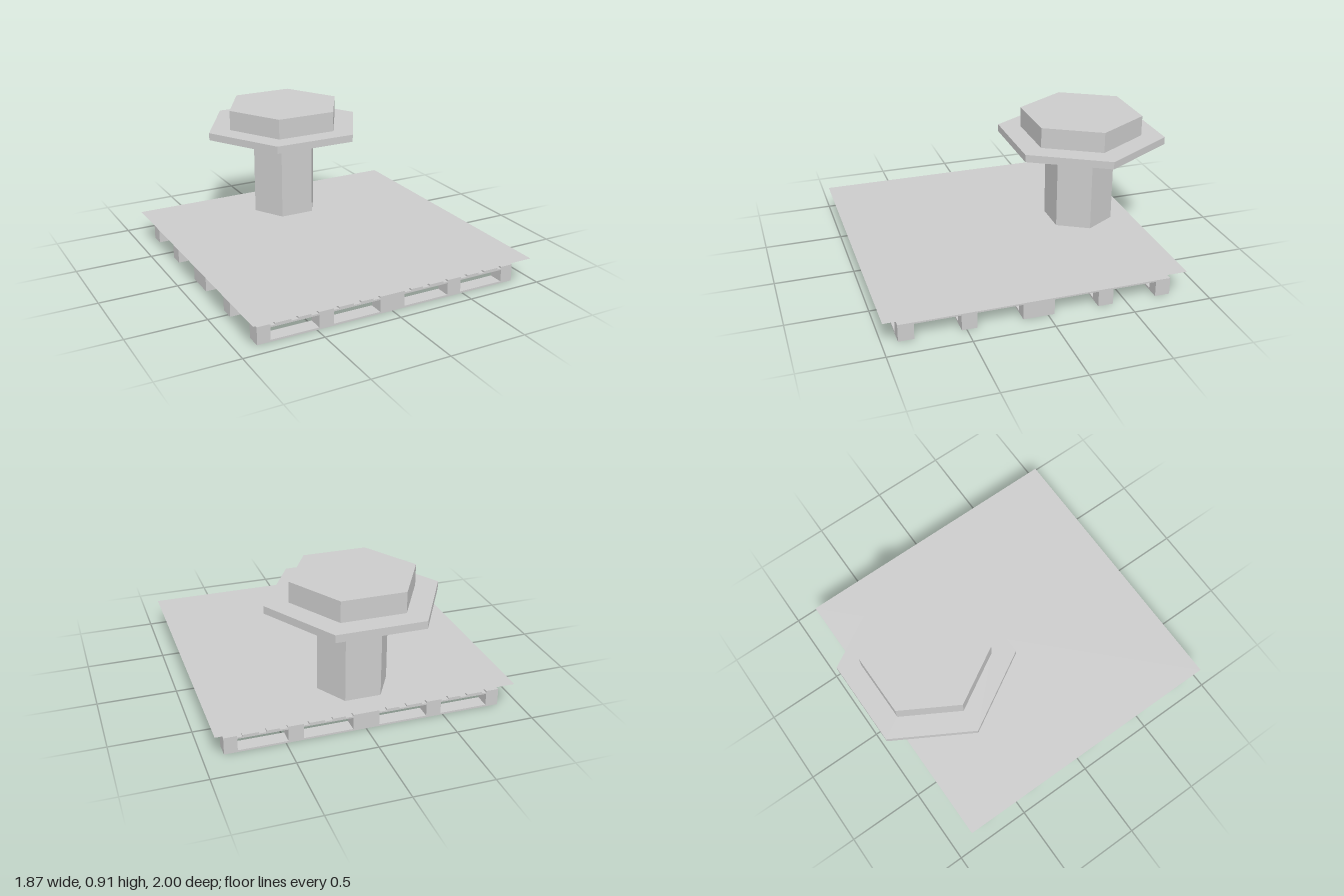
import * as THREE from 'three';

const material = new THREE.MeshStandardMaterial({ color: 0xcccccc, flatShading: true });
const thinMaterial = new THREE.MeshStandardMaterial({ color: 0xcccccc, flatShading: true, side: THREE.DoubleSide });

function add(parent, name, geometry, mat = material) {
  const mesh = new THREE.Mesh(geometry, mat);
  mesh.name = name;
  parent.add(mesh);
  return mesh;
}

// Box given by its limits on each axis
function box(parent, name, [x0, x1], [y0, y1], [z0, z1]) {
  const mesh = add(parent, name, new THREE.BoxGeometry(x1 - x0, y1 - y0, z1 - z0));
  mesh.position.set((x0 + x1) / 2, (y0 + y1) / 2, (z0 + z1) / 2);
  return mesh;
}

// Hexagon corners with two corners on the x axis
function hexagon(r) {
  return Array.from({ length: 6 }, (_, i) =>
    new THREE.Vector2(r * Math.cos(i * Math.PI / 3), r * Math.sin(i * Math.PI / 3)));
}

// Upright prism from a flat shape
function prism(parent, name, shape, y0, y1, z) {
  const geometry = new THREE.ExtrudeGeometry(shape, { depth: y1 - y0, bevelEnabled: false });
  const mesh = add(parent, name, geometry.rotateX(-Math.PI / 2));
  mesh.position.set(0, y0, z);
  return mesh;
}

function createPallet() {
  const pallet = new THREE.Group();
  pallet.name = 'pallet';
  const columns = [[-0.872, -0.79], [-0.485, -0.39], [-0.083, 0.083], [0.39, 0.485], [0.79, 0.872]];
  const rows = [[-0.79, -0.695], [-0.415, -0.32], [-0.04, 0.155], [0.435, 0.53], [0.81, 0.905]];

  // Bottom board, upper board and five blocks in each row
  for (const row of rows) {
    box(pallet, 'bottomBoard', [-0.872, 0.872], [0, 0.012], row);
    box(pallet, 'upperBoard', [-0.872, 0.872], [0.09, 0.1], row);
    for (const column of columns) box(pallet, 'block', column, [0.012, 0.09], row);
  }

  // Deck slats run front to back, mirrored about the middle one
  const depth = [-0.79, 0.905];
  const slats = [[0.13, 0.21], [0.26, 0.357], [0.39, 0.487], [0.535, 0.615], [0.66, 0.76], [0.79, 0.872]];
  box(pallet, 'deckSlat', [-0.083, 0.083], [0.1, 0.11], depth);
  for (const [a, b] of slats) {
    box(pallet, 'deckSlat', [a, b], [0.1, 0.11], depth);
    box(pallet, 'deckSlat', [-b, -a], [0.1, 0.11], depth);
  }

  // Small plate with cut corners on the deck
  const r = 0.19, c = 0.155;
  const plate = new THREE.Shape([[r, -c], [r, c], [c, r], [-c, r], [-r, c], [-r, -c], [-c, -r], [c, -r]]
    .map(([x, y]) => new THREE.Vector2(x, y)));
  prism(pallet, 'deckPlate', plate, 0.11, 0.135, 0.058);
  return pallet;
}

function createBolt() {
  const bolt = new THREE.Group();
  bolt.name = 'bolt';
  const z = -0.53, capRadius = 0.395;

  prism(bolt, 'shaft', new THREE.Shape(hexagon(0.225)), 0.175, 0.905, z);

  const ring = new THREE.Shape(hexagon(0.545));
  ring.holes.push(new THREE.Path(hexagon(capRadius)));
  prism(bolt, 'flange', ring, 0.73, 0.778, z);

  // Hollow cap, open below
  const cap = new THREE.Group();
  cap.name = 'cap';
  cap.position.set(0, 0, z);
  bolt.add(cap);
  const wall = new THREE.CylinderGeometry(capRadius, capRadius, 0.18, 6, 1, true).rotateY(Math.PI / 6);
  add(cap, 'capWall', wall, thinMaterial).position.y = 0.82;
  const top = new THREE.ShapeGeometry(new THREE.Shape(hexagon(capRadius))).rotateX(-Math.PI / 2);
  add(cap, 'capTop', top, thinMaterial).position.y = 0.91;
  return bolt;
}

export function createModel() {
  const model = new THREE.Group();
  model.name = 'palletWithBolt';
  model.add(createPallet(), createBolt());

  // Thin sheet above the pallet
  const sheet = new THREE.PlaneGeometry(1.87, 1.865).rotateX(-Math.PI / 2);
  add(model, 'sheet', sheet, thinMaterial).position.set(0, 0.175, 0.0675);
  return model;
}
